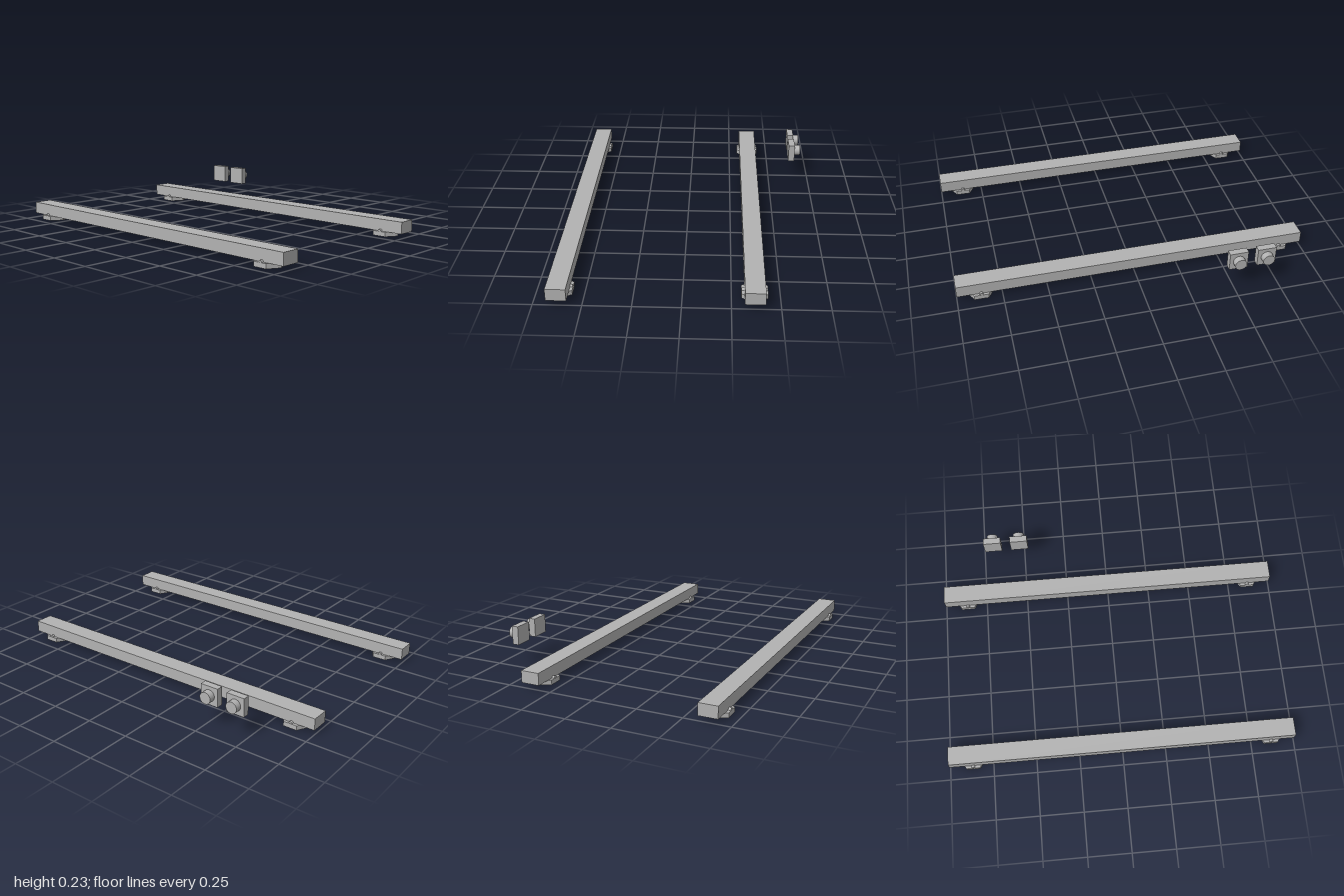
import * as THREE from 'three';

export function createModel() {
  const model = new THREE.Group();
  const grey = new THREE.MeshStandardMaterial({ color: 0xb2b2b2 });
  grey.name = 'plain grey';

  const add = (parent, name, geometry, x, y, z) => {
    const mesh = new THREE.Mesh(geometry, grey);
    mesh.name = name;
    mesh.position.set(x, y, z);
    parent.add(mesh);
    return mesh;
  };

  // Shared shapes
  const beamGeo = new THREE.BoxGeometry(2, 0.067, 0.105);
  const footGeo = new THREE.CylinderGeometry(0.079, 0.079, 0.026, 6).toNonIndexed();
  footGeo.rotateY(Math.PI / 6 * 3); // points face along the beam
  footGeo.computeVertexNormals();
  const pinGeo = new THREE.CylinderGeometry(0.011, 0.011, 0.134, 16).rotateX(Math.PI / 2);

  // Two long beams, each on a pair of hexagonal feet
  for (const [name, z] of [['frontBeam', 0.63], ['backBeam', -0.369]]) {
    const group = new THREE.Group();
    group.name = name;
    group.position.z = z;
    add(group, 'beam', beamGeo, 0, 0.0595, 0);
    for (const side of [-1, 1]) {
      add(group, 'foot', footGeo, side * 0.866, 0.013, 0);
      add(group, 'footPin', pinGeo, side * 0.866, 0.026, 0);
    }
    model.add(group);
  }

  // Two square push buttons with round stems behind
  const plateGeo = new THREE.BoxGeometry(0.105, 0.105, 0.038);
  const stemGeo = new THREE.CylinderGeometry(0.033, 0.033, 0.036, 32).rotateX(Math.PI / 2);
  for (const x of [-0.682, -0.521]) {
    const button = new THREE.Group();
    button.name = 'button';
    button.position.set(x, 0.173, 0);
    add(button, 'buttonPlate', plateGeo, 0, 0, -0.643);
    add(button, 'buttonStem', stemGeo, 0, 0, -0.68);
    model.add(button);
  }
  return model;
}
